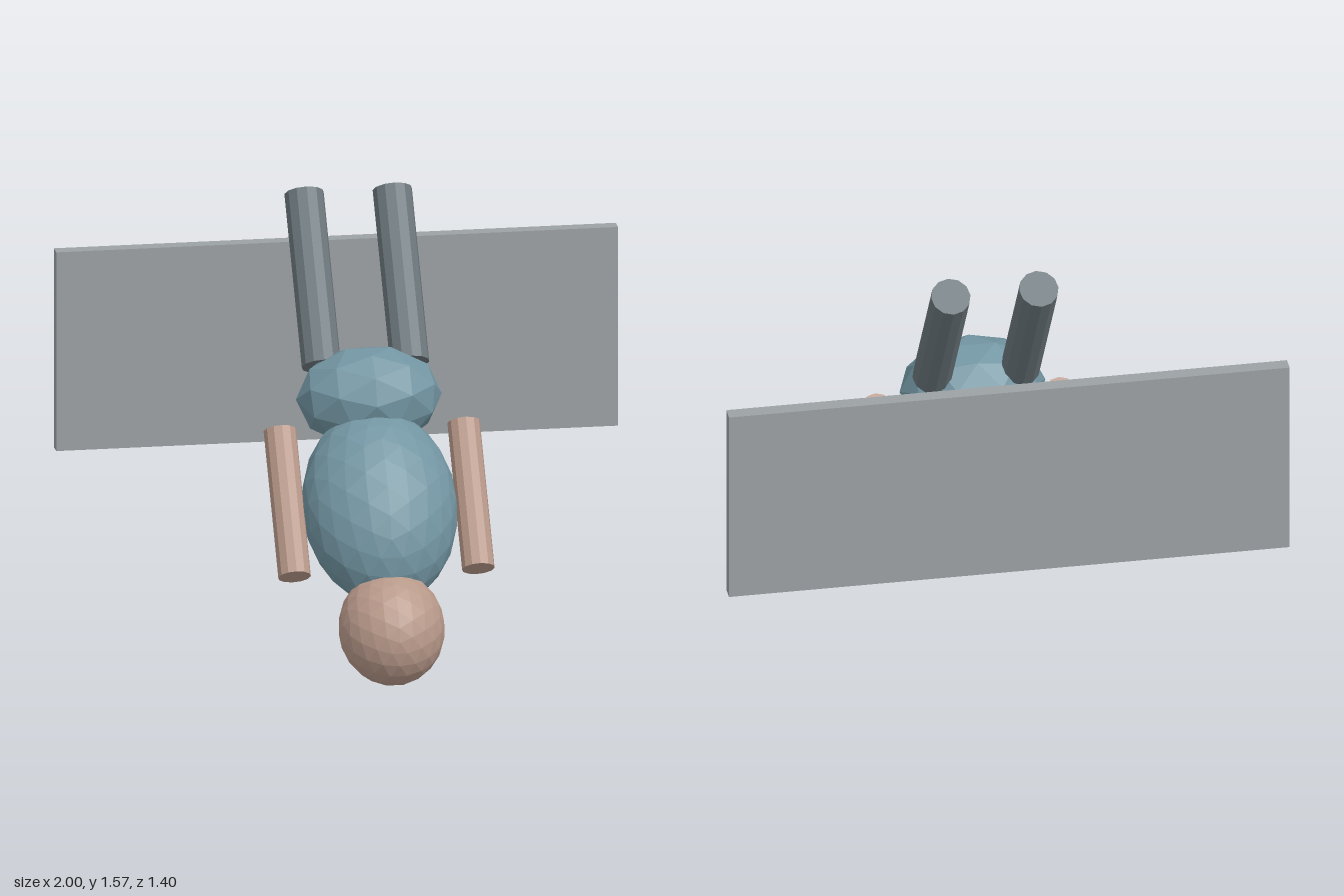
import * as THREE from 'three';

const material = (name, color) => {
  const m = new THREE.MeshStandardMaterial({ color });
  m.name = name;
  m.flatShading = true;
  return m;
};

export function createModel() {
  const model = new THREE.Group();
  model.name = 'divingFigure';

  const skin = material('skin', 0xb8998a);
  const cloth = material('blueCloth', 0x7295a2);
  const trousers = material('greyTrousers', 0x6c777c);
  const board = material('greyPanel', 0x9ca1a3);

  const tilt = -0.614; // the whole figure leans about x, head down and forward

  const add = (name, geometry, mat, x, y, z, lean = tilt) => {
    const mesh = new THREE.Mesh(geometry, mat);
    mesh.name = name;
    mesh.position.set(x, y, z);
    mesh.rotation.x = lean;
    model.add(mesh);
  };

  // faceted ellipsoid with its long axis along y
  const ellipsoid = (rx, ry, rz, detail) =>
    new THREE.IcosahedronGeometry(1, detail).scale(rx, ry, rz);

  // body
  add('head', ellipsoid(0.188, 0.206, 0.177, 3), skin, 0, 0.2, 0.517);
  add('torso', ellipsoid(0.275, 0.36, 0.213, 3), cloth, 0, 0.573, 0.264);
  add('hips', ellipsoid(0.26, 0.182, 0.18, 1), cloth, 0, 0.911, 0.031);

  // mirrored limbs
  for (const [side, s] of [['left', 1], ['right', -1]]) {
    add(side + 'Arm', new THREE.CylinderGeometry(0.058, 0.058, 0.546, 12), skin, s * 0.327, 0.595, 0.25);
    add(side + 'Leg', new THREE.CylinderGeometry(0.07, 0.07, 0.646, 12), trousers, s * 0.157, 1.271, -0.227);
  }

  // upright panel behind the figure
  add('backPanel', new THREE.BoxGeometry(2, 0.725, 0.054), board, 0, 0.93, -0.673, 0);

  return model;
}
